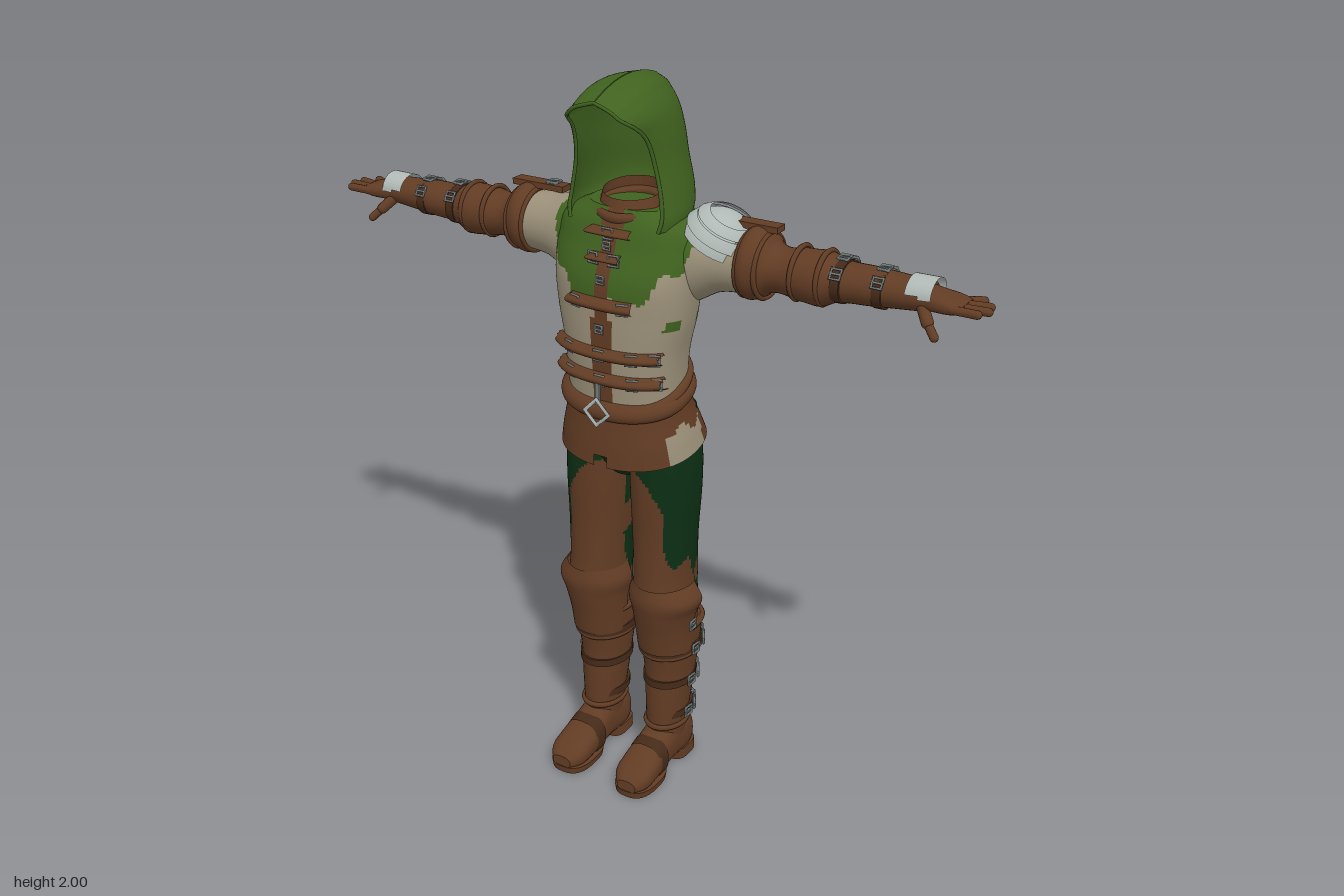
import * as THREE from 'three';
import { mergeVertices } from 'three/addons/utils/BufferGeometryUtils.js';

const paint = (name, color, side = THREE.FrontSide) => {
  const m = new THREE.MeshStandardMaterial({ color, side });
  m.name = name;
  return m;
};

export function createModel() {
  const brown = paint('brownLeather', 0x623c24, THREE.DoubleSide);
  const darkBrown = paint('darkLeather', 0x452a19);
  const green = paint('greenCloth', 0x40621f, THREE.DoubleSide);
  const forest = paint('darkGreenCloth', 0x0c2f14);
  const beige = paint('beigeLinen', 0x9c917a);
  const silver = paint('paleSilver', 0xb0b9b5, THREE.DoubleSide);
  const metal = paint('buckleMetal', 0x747e7d);
  const root = new THREE.Group();

  const add = (parent, name, geo, mat, pos = [0, 0, 0], rot = [0, 0, 0], scale = [1, 1, 1]) => {
    const m = new THREE.Mesh(geo, mat);
    m.name = name;
    m.position.set(...pos); m.rotation.set(...rot); m.scale.set(...scale);
    parent.add(m);
    return m;
  };

  // Grid surface; pick(x, y, z) gives a material index per quad, or -1 for a hole
  function grid(nu, nv, closed, fn, pick = () => 0) {
    const pos = [], buckets = [], cols = closed ? nu : nu + 1;
    for (let j = 0; j <= nv; j++) for (let i = 0; i < cols; i++) pos.push(...fn(i / nu, j / nv));
    const put = (ids) => {
      const c = [0, 1, 2].map(k => ids.reduce((s, v) => s + pos[v * 3 + k], 0) / ids.length);
      const k = pick(...c);
      if (k < 0) return;
      const b = (buckets[k] ||= []);
      for (let t = 2; t < ids.length; t++) b.push(ids[0], ids[t - 1], ids[t]);
    };
    for (let j = 0; j < nv; j++) for (let i = 0; i < nu; i++) {
      const a = j * cols + i, b = j * cols + (i + 1) % cols;
      put([a, b, b + cols, a + cols]);
    }
    if (closed === 'capped') [0, nv].forEach(j => {
      const ring = [...Array(cols).keys()].map(i => i + j * cols);
      const start = pos.length / 3;
      ring.forEach(v => pos.push(pos[v * 3], pos[v * 3 + 1], pos[v * 3 + 2]));
      const cap = ring.map((_, i) => start + i);
      put(j ? cap : cap.reverse());
    });
    const geo = new THREE.BufferGeometry(), index = [];
    buckets.forEach((b, k) => { geo.addGroup(index.length, b.length, k); for (const v of b) index.push(v); });
    geo.setAttribute('position', new THREE.Float32BufferAttribute(pos, 3));
    geo.setIndex(index);
    geo.computeVertexNormals();
    return geo;
  }

  // Elliptical loft along an axis; keys are [t, centreA, centreB, radiusA, radiusB]
  const spline = keys => new THREE.CubicInterpolant(keys.map(k => k[0]), keys.flatMap(k => k.slice(1)), 4);
  const pw = (v, p) => Math.sign(v) * Math.abs(v) ** p;
  function loft(keys, { axis = 'y', p = 1, nu = 32, nv = 24, open = false, pick, tilt = 0 } = {}) {
    const s = spline(keys), t0 = keys[0][0], t1 = keys[keys.length - 1][0];
    return grid(nu, nv, open ? 'open' : 'capped', (u, v) => {
      const t = t0 + (t1 - t0) * v, [ca, cb, ra, rb] = s.evaluate(t);
      const a = ra * pw(Math.sin(u * 2 * Math.PI), p), b = rb * pw(Math.cos(u * 2 * Math.PI), p);
      if (axis === 'x') return [t, ca - a, cb + b];
      if (axis === 'z') return [ca + a, cb - b, t];
      return [ca + a, t - tilt * (cb + b), cb + b];
    }, pick);
  }

  // Rounded rod between two points
  function rod(parent, name, a, b, r, mat) {
    const A = new THREE.Vector3(...a), B = new THREE.Vector3(...b), d = B.clone().sub(A);
    const m = add(parent, name, new THREE.CapsuleGeometry(r, d.length(), 4, 10), mat, A.clone().add(B).multiplyScalar(0.5).toArray());
    m.quaternion.setFromUnitVectors(new THREE.Vector3(0, 1, 0), d.normalize());
  }

  // Square buckle frame with a prong
  function buckle(parent, pos, rot, r = 0.019) {
    const g = new THREE.Group();
    g.name = 'buckle';
    g.position.set(...pos); g.rotation.set(...rot);
    add(g, 'buckleFrame', new THREE.TorusGeometry(r, 0.0045, 4, 4).rotateZ(Math.PI / 4), metal);
    add(g, 'bucklePin', new THREE.BoxGeometry(r * 1.7, 0.005, 0.005), metal);
    parent.add(g);
  }

  // Mirrored copy with the winding corrected
  function mirrored(src, name) {
    const out = new THREE.Group();
    out.name = name;
    src.updateMatrixWorld(true);
    src.traverse(m => {
      if (!m.isMesh) return;
      let g = m.geometry.clone().applyMatrix4(m.matrixWorld).scale(-1, 1, 1);
      if (!g.index) g = mergeVertices(g);
      const ix = g.index.array;
      for (let i = 0; i < ix.length; i += 3) [ix[i], ix[i + 1]] = [ix[i + 1], ix[i]];
      add(out, m.name, g, m.material);
    });
    return out;
  }

  // Torso with a ragged green mantle, leather front and worn strips on the back
  const torsoKeys = [[1.12, 0, 0.01, 0.16, 0.12], [1.2, 0, 0.012, 0.16, 0.122], [1.3, 0, 0.015, 0.168, 0.125],
    [1.4, 0, 0.012, 0.188, 0.13], [1.5, 0, 0.008, 0.2, 0.13], [1.58, 0, -0.015, 0.205, 0.122],
    [1.64, 0, -0.025, 0.185, 0.11], [1.675, 0, -0.025, 0.12, 0.09]];
  const torsoAt = spline(torsoKeys), TP = 0.85;
  add(root, 'tunic', loft(torsoKeys, { p: TP, nu: 96, nv: 80, pick: (x, y, z) => {
    if (z > 0.05 && Math.abs(x) < 0.026) return 2;
    const rag = 0.018 * Math.sin(42 * x + 1) + 0.012 * Math.sin(95 * x);
    const edge = z > 0 ? 1.445 + 2.6 * x * x + rag : 1.53 + 1.2 * x * x + rag;
    if (y > edge) return 1;
    if (z < -0.04 && y < 1.38 && Math.sin(92 * y + 9 * x) + 0.6 * Math.sin(23 * x + 31 * y) > 0.75) return 2;
    if (y > 1.385 && y < 1.41 && Math.sin(60 * z + 20 * x) > 0.6 && Math.abs(x) > 0.1) return 1;
    return 0;
  } }), [beige, green, brown]);

  // Chest straps and buckles follow the torso surface
  const chestZ = (x, y) => {
    const [, cz, rx, rz] = torsoAt.evaluate(y);
    const s = Math.min(1, (Math.abs(x) / rx) ** (1 / TP));
    return cz + rz * (1 - s * s) ** (TP / 2);
  };
  for (const [y, h, w, bx] of [[1.445, 0.034, 0.09, [-0.07, 0.07]], [1.31, 0.034, 0.155, [-0.1, 0, 0.09, 0.14]],
    [1.24, 0.036, 0.155, [-0.1, 0, 0.09, 0.14]], [1.56, 0.02, 0.05, [-0.03, 0.03]], [1.62, 0.02, 0.06, [0]]]) {
    const keys = [-1, -0.9, 0.9, 1].map(k => {
      const t = y + k * h / 2, [cx, cz, rx, rz] = torsoAt.evaluate(t), e = Math.abs(k) < 1 ? 0.009 : 0.001;
      return [t, cx, cz, rx + e, rz + e];
    });
    add(root, 'chestStrap', loft(keys, { p: TP, nu: 80, nv: 10, open: true, pick: (x, _, z) => (z > 0 && Math.abs(x) < w ? 0 : -1) }), [brown]);
    for (const x of bx) buckle(root, [x, y, chestZ(x, y) + 0.015], [0, x * 4, 0]);
  }
  for (const y of [1.38, 1.51, 1.59]) buckle(root, [0, y, chestZ(0, y) + 0.01], [0, 0, 0], 0.014);

  // Tilted belts, skirt and diamond clasp
  const belt = (y, h, rx, rz, tilt) => add(root, 'belt', loft([[y, 0, 0.01, rx - 0.01, rz - 0.01], [y + h * 0.15, 0, 0.01, rx, rz],
    [y + h * 0.85, 0, 0.01, rx, rz], [y + h, 0, 0.01, rx - 0.01, rz - 0.01]], { nu: 48, nv: 10, tilt, p: 0.9 }), brown);
  belt(1.155, 0.05, 0.178, 0.14, 0.22);
  belt(1.19, 0.035, 0.17, 0.132, 0.4);
  add(root, 'skirt', loft([[1.02, 0, -0.018, 0.197, 0.168], [1.07, 0, -0.008, 0.187, 0.155], [1.13, 0, 0.003, 0.172, 0.137],
    [1.19, 0, 0.01, 0.162, 0.125]], { nu: 80, nv: 28, open: true, tilt: 0.18, p: 0.9, pick: (x, y, z) => {
    if (z > 0 && Math.abs(x) < (1.1 - y) * 0.13) return -1;
    const worn = Math.abs(x) > 0.13 && y < 1.1 + 0.015 * Math.sin(70 * z) && z > -0.06 && z < 0.08;
    return worn ? 1 : 0;
  } }), [brown, beige]);
  add(root, 'clasp', new THREE.TorusGeometry(0.036, 0.007, 4, 4), silver, [0, 1.155, 0.165]);
  add(root, 'claspBar', new THREE.BoxGeometry(0.012, 0.06, 0.008), metal, [0, 1.205, 0.158]);
  add(root, 'hips', loft([[0.93, 0, -0.02, 0.06, 0.07], [0.98, 0, -0.02, 0.13, 0.1], [1.14, 0, 0, 0.15, 0.11]]), forest);

  // Hood, open and hollow at the front
  const hoodKeys = [[1.635, 0.15, 0.08, -0.125, 0], [1.66, 0.157, 0.075, -0.16, 0], [1.7, 0.153, 0.068, -0.175, 0],
    [1.8, 0.133, 0.072, -0.168, 0], [1.88, 0.121, 0.1, -0.165, 0], [1.93, 0.108, 0.14, -0.162, 0],
    [1.965, 0.084, 0.165, -0.155, 0], [1.99, 0.05, 0.17, -0.14, 0], [2, 0.001, 0.165, -0.12, 0]];
  const hoodAt = spline(hoodKeys);
  const hoodPoint = (u, v) => {
    const y = 1.635 + 0.365 * Math.sin(v * Math.PI / 2), [w, f, b] = hoodAt.evaluate(Math.min(y, 2));
    const a = (u - 0.5) * 4.2, r = (f - b) / 1.505, z = b + r - r * Math.cos(a);
    return [-w * Math.sin(a), y - 1.5 * z * z * THREE.MathUtils.smoothstep(y, 1.8, 2), z];
  };
  add(root, 'hood', grid(48, 40, false, hoodPoint), green);
  const rim = [];
  for (let i = 0; i <= 20; i++) rim.push(new THREE.Vector3(...hoodPoint(0, i / 20)));
  for (let i = 19; i >= 0; i--) rim.push(new THREE.Vector3(...hoodPoint(1, i / 20)));
  add(root, 'hoodRim', new THREE.TubeGeometry(new THREE.CatmullRomCurve3(rim), 90, 0.005, 6), green);
  add(root, 'collar', loft([[1.61, 0, -0.01, 0.1, 0.1], [1.66, 0, -0.01, 0.088, 0.085], [1.705, 0, -0.015, 0.08, 0.075]], { open: true, tilt: 0.15 }), brown);
  add(root, 'collarRoll', new THREE.TorusGeometry(0.085, 0.014, 8, 32), brown, [0, 1.665, -0.008], [Math.PI / 2 + 0.15, 0, 0]);

  // Left arm: sleeve, cuffs, bracer, straps and gloved hand
  const arm = new THREE.Group();
  arm.name = 'leftArm';
  add(arm, 'sleeve', loft([[0.1, 1.53, -0.03, 0.115, 0.1], [0.18, 1.545, -0.04, 0.11, 0.095], [0.25, 1.558, -0.045, 0.086, 0.086],
    [0.34, 1.56, -0.05, 0.077, 0.08]], { axis: 'x', nu: 48, nv: 36, pick: (x, y, z) =>
    (x < 0.195 + 0.015 * Math.sin(60 * z + 50 * y) && y > 1.52 ? 1 : 0) }), [beige, green]);
  add(arm, 'bracer', loft([[0.31, 1.562, -0.05, 0.07, 0.07], [0.318, 1.562, -0.05, 0.086, 0.086], [0.37, 1.565, -0.05, 0.084, 0.084],
    [0.385, 1.56, -0.05, 0.066, 0.07], [0.48, 1.556, -0.05, 0.066, 0.07], [0.53, 1.556, -0.05, 0.068, 0.07], [0.56, 1.558, -0.05, 0.055, 0.06],
    [0.66, 1.562, -0.05, 0.047, 0.054], [0.8, 1.565, -0.05, 0.036, 0.045]], { axis: 'x', nv: 60 }), brown);
  for (const [x, r] of [[0.32, 0.084], [0.37, 0.082], [0.46, 0.067], [0.53, 0.067]])
    add(arm, 'cuffRoll', new THREE.TorusGeometry(r, 0.007, 6, 32).rotateY(Math.PI / 2), brown, [x, 1.56, -0.05]);
  add(arm, 'armStrap', new THREE.BoxGeometry(0.16, 0.016, 0.04), brown, [0.315, 1.655, -0.06]);
  for (const [x, r] of [[0.575, 0.058], [0.68, 0.051]]) {
    add(arm, 'bracerStrap', new THREE.CylinderGeometry(r, r, 0.024, 28).rotateZ(Math.PI / 2), darkBrown, [x, 1.56, -0.05], [0, 0, 0], [1, 0.93, 1.08]);
    for (const a of [-0.9, 0.1, 1])
      buckle(arm, [x, 1.56 + (r + 0.004) * Math.cos(a), -0.05 + (r + 0.006) * Math.sin(a)], [a - Math.PI / 2, 0, 0], 0.018);
  }
  add(arm, 'wristPlate', loft([[0.75, 1.567, -0.05, 0.046, 0.053], [0.815, 1.57, -0.05, 0.044, 0.05]],
    { axis: 'x', open: true, nv: 4, pick: (x, y) => (y > 1.573 ? 0 : -1) }), [silver]);
  add(arm, 'palm', loft([[0.78, 1.565, -0.05, 0.03, 0.04], [0.82, 1.562, -0.047, 0.025, 0.046], [0.87, 1.56, -0.045, 0.018, 0.048],
    [0.89, 1.56, -0.045, 0.01, 0.042]], { axis: 'x', p: 0.8 }), brown);
  [[-0.098, 0.91], [-0.066, 0.938], [-0.034, 0.945], [-0.004, 0.93]].forEach(([z, x], i) =>
    rod(arm, 'finger', [0.865, 1.56, -0.078 + i * 0.024], [x, 1.561, z], 0.011, brown));
  rod(arm, 'thumb', [0.79, 1.548, -0.02], [0.815, 1.52, 0.005], 0.015, brown);
  rod(arm, 'thumbTip', [0.815, 1.52, 0.005], [0.84, 1.494, 0.02], 0.011, brown);
  const rightArm = mirrored(arm, 'rightArm');
  root.add(arm, rightArm);
  buckle(rightArm, [-0.275, 1.667, -0.06], [-Math.PI / 2, 0, 0]);

  // Layered silver guard on the left shoulder
  const guard = new THREE.Group();
  guard.name = 'shoulderGuard';
  guard.position.set(0.22, 1.575, -0.045); guard.rotation.z = -0.45;
  [[1, 1.3], [1.07, 1.05], [1.1, 0.75]].forEach(([k, end], i) => add(guard, 'guardPlate',
    new THREE.SphereGeometry(0.105, 32, 14, 0, Math.PI * 2, i ? end - 0.22 : 0, i ? 0.27 : end), silver, [0, 0, 0], [0, 0, 0], [0.98 * k, 1.06 * k, k]));
  root.add(guard);

  // Left leg: worn trousers, knee guard, boot and foot
  const leg = new THREE.Group();
  leg.name = 'leftLeg';
  add(leg, 'trouserLeg', loft([[0.44, 0.107, -0.04, 0.07, 0.09], [0.5, 0.108, -0.028, 0.076, 0.096], [0.57, 0.107, -0.015, 0.079, 0.104],
    [0.65, 0.104, -0.018, 0.079, 0.104], [0.75, 0.103, -0.017, 0.083, 0.1], [0.9, 0.102, -0.02, 0.09, 0.108],
    [1.0, 0.1, -0.02, 0.09, 0.11], [1.12, 0.09, -0.015, 0.08, 0.11]], { p: 0.92, nu: 72, nv: 84, pick: (x, y, z) => {
    const n = Math.sin(34 * y + 25 * x) + Math.sin(62 * x - 17 * y + 1) + 0.6 * Math.sin(71 * z + 20 * y);
    if (z > 0) return y > 0.7 + 0.03 * n - 0.4 * Math.max(0, x - 0.13) && x > 0.115 + (0.95 - y) * 0.2 - Math.max(0, y - 0.93) * 1.6 + 0.008 * n ? 1 : 0;
    if (y < 0.53 + 0.015 * n + Math.max(0, z + 0.06) * 3) return 0;
    return n > (x < 0.15 ? 0.95 : 1.6) && y < 0.98 ? 0 : 1;
  } }), [brown, forest]);
  add(leg, 'kneeGuard', loft([[0.4, 0.108, -0.02, 0.08, 0.085], [0.47, 0.108, -0.01, 0.083, 0.088], [0.53, 0.111, -0.008, 0.092, 0.1],
    [0.575, 0.114, -0.008, 0.105, 0.108], [0.62, 0.108, -0.01, 0.084, 0.103]], { open: true, nu: 40, pick: (x, y, z) => (z > -0.03 ? 0 : -1) }), [brown]);
  buckle(leg, [0.198, 0.49, -0.01], [0, Math.PI / 2, 0], 0.018);
  add(leg, 'bootShaft', loft([[0.09, 0.107, -0.03, 0.05, 0.068], [0.15, 0.107, -0.03, 0.055, 0.07], [0.22, 0.107, -0.036, 0.061, 0.077],
    [0.32, 0.107, -0.044, 0.07, 0.085], [0.4, 0.107, -0.045, 0.078, 0.097], [0.475, 0.108, -0.042, 0.083, 0.106]]), brown);
  for (const [y, rx, rz, z] of [[0.47, 0.083, 0.104, -0.042], [0.385, 0.079, 0.098, -0.045], [0.145, 0.058, 0.074, -0.03]])
    add(leg, 'bootCuff', new THREE.TorusGeometry(1, 0.09, 6, 36).rotateX(Math.PI / 2), brown, [0.107, y, z], [0, 0, 0], [rx, 0.09, rz]);
  for (const [y, rx, rz] of [[0.4, 0.084, 0.103], [0.29, 0.071, 0.088], [0.18, 0.062, 0.08]]) {
    add(leg, 'bootStrap', new THREE.CylinderGeometry(1, 1, 0.022, 36), darkBrown, [0.107, y, -0.042], [0, 0, 0], [rx, 1, rz]);
    for (const a of [1.5, 2.1, 2.7])
      buckle(leg, [0.107 + (rx + 0.005) * Math.sin(a), y, -0.042 + (rz + 0.005) * Math.cos(a)], [0, a, 0], 0.02);
  }
  add(leg, 'foot', loft([[-0.122, 0.107, 0.065, 0.03, 0.04], [-0.1, 0.107, 0.075, 0.046, 0.062], [0, 0.107, 0.077, 0.051, 0.066],
    [0.06, 0.107, 0.066, 0.053, 0.055], [0.12, 0.108, 0.052, 0.057, 0.043], [0.17, 0.109, 0.042, 0.051, 0.032],
    [0.198, 0.11, 0.034, 0.03, 0.018]], { axis: 'z', p: 0.8, nv: 30 }), brown);
  add(leg, 'sole', loft([[0, 0.108, 0.115, 0.057, 0.083], [0.02, 0.108, 0.115, 0.06, 0.086]], { p: 0.75, nv: 2 }), brown);
  add(leg, 'heel', loft([[0, 0.107, -0.075, 0.05, 0.052], [0.035, 0.107, -0.072, 0.05, 0.055]], { p: 0.6, nv: 2 }), brown);
  add(leg, 'footStrap', loft([[0.055, 0.107, 0.062, 0.057, 0.06], [0.075, 0.107, 0.059, 0.056, 0.058], [0.095, 0.107, 0.056, 0.055, 0.056]],
    { axis: 'z', p: 0.8, nv: 4, open: true, pick: (x, y) => (y > 0.02 ? 0 : -1) }), [darkBrown]);
  root.add(leg, mirrored(leg, 'rightLeg'));

  return root;
}
